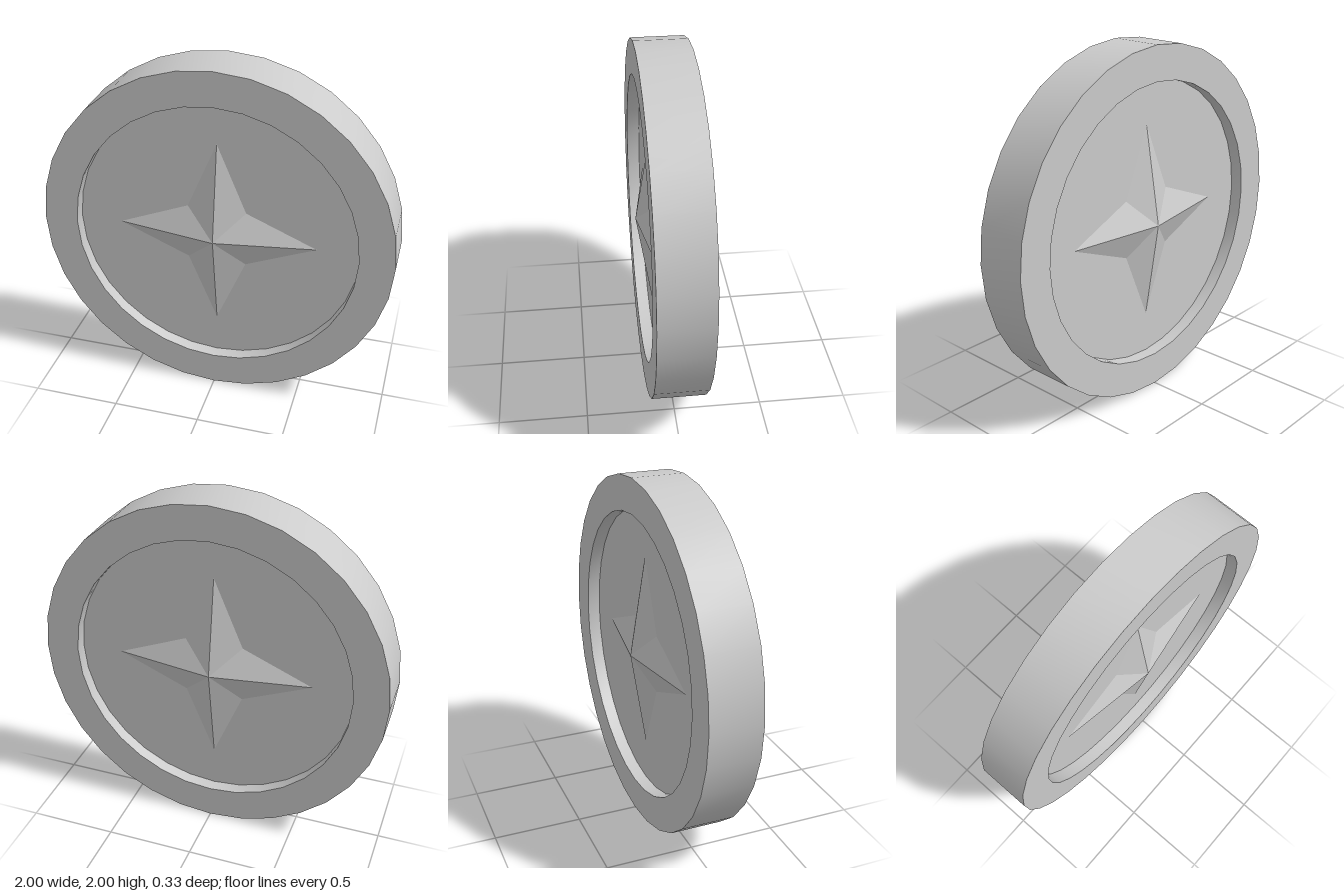
import * as THREE from 'three';
import { toCreasedNormals } from 'three/addons/utils/BufferGeometryUtils.js';

const RADIUS = 1, INNER = 0.805, HALF = 0.148, FLOOR = 0.075;

// Four-pointed faceted star: a ring of base points joined to a raised apex
function starGeometry(tip, notch, height) {
  const ring = [];
  for (let i = 0; i < 8; i++) {
    const a = (i * Math.PI) / 4;
    const r = i % 2 ? notch : tip;
    ring.push([r * Math.cos(a), r * Math.sin(a), 0]);
  }
  const positions = [];
  for (let i = 0; i < 8; i++) {
    positions.push(...ring[i], ...ring[(i + 1) % 8], 0, 0, height);
  }
  const geometry = new THREE.BufferGeometry();
  geometry.setAttribute('position', new THREE.Float32BufferAttribute(positions, 3));
  geometry.computeVertexNormals();
  return geometry;
}

export function createModel() {
  const group = new THREE.Group();
  group.name = 'coin';

  // Disc with a raised rim and a recessed field on both faces
  const profile = [
    [0, -FLOOR], [INNER, -FLOOR], [INNER, -HALF], [RADIUS, -HALF],
    [RADIUS, HALF], [INNER, HALF], [INNER, FLOOR], [0, FLOOR],
  ].map(([r, h]) => new THREE.Vector2(r, h));
  const discGeometry = toCreasedNormals(new THREE.LatheGeometry(profile, 32), 0.6);
  discGeometry.rotateX(Math.PI / 2);
  const disc = new THREE.Mesh(discGeometry, new THREE.MeshStandardMaterial({ color: 0xcccccc }));
  disc.name = 'rimmedDisc';
  disc.position.y = RADIUS;
  group.add(disc);

  // One star on each face
  const star = starGeometry(0.565, 0.235, 0.09);
  const starMaterial = new THREE.MeshStandardMaterial({ color: 0xcccccc, flatShading: true });
  for (const [name, side] of [['frontStar', 1], ['backStar', -1]]) {
    const mesh = new THREE.Mesh(star, starMaterial);
    mesh.name = name;
    mesh.position.set(0, RADIUS, side * FLOOR);
    mesh.rotation.y = side > 0 ? 0 : Math.PI;
    group.add(mesh);
  }
  return group;
}
